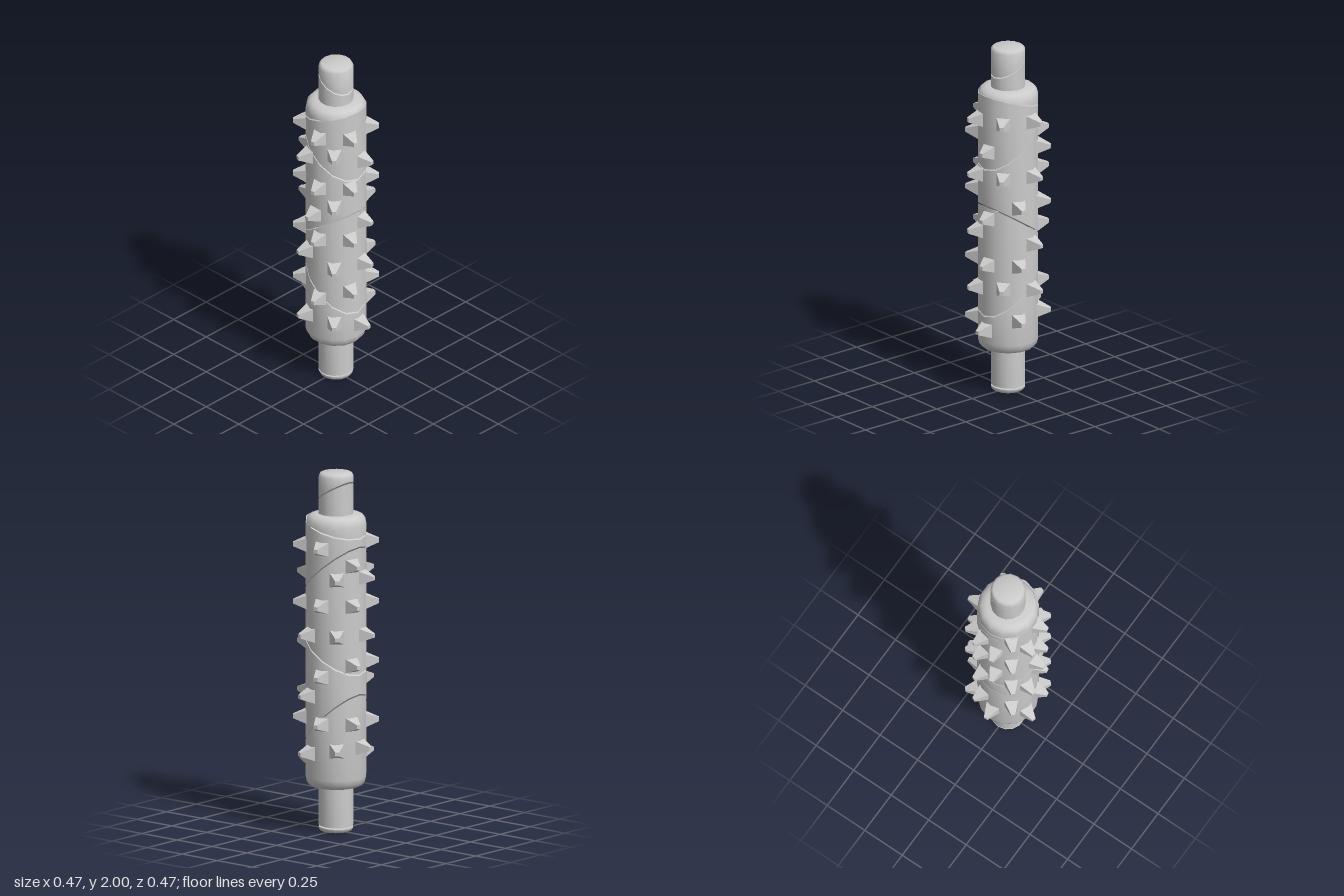
import * as THREE from 'three';
import { toCreasedNormals } from 'three/addons/utils/BufferGeometryUtils.js';

const SIDES = 14;
const GAP = 0.004;
const material = new THREE.MeshStandardMaterial({ color: 0xcccccc });

// Closed round piece; each profile point is [radius, height, tilt], tilt slanting that ring along z.
function turnedPiece(name, profile) {
  const points = profile.map(([r, y]) => new THREE.Vector2(r, y));
  const geometry = new THREE.LatheGeometry(points, SIDES);
  const pos = geometry.attributes.position;
  for (let i = 0; i < pos.count; i++) {
    const tilt = profile[i % profile.length][2] || 0;
    pos.setY(i, pos.getY(i) + tilt * pos.getZ(i));
  }
  const mesh = new THREE.Mesh(toCreasedNormals(geometry, 0.75), material);
  mesh.name = name;
  return mesh;
}

// Splits a turned bar along slanted cracks given as [height, tilt], from bottom to top.
function crackedBar(name, radius, bottomEnd, topEnd, cracks) {
  const group = new THREE.Group();
  group.name = name;
  for (let i = 0; i <= cracks.length; i++) {
    const lower = cracks[i - 1], upper = cracks[i];
    const start = lower
      ? [[0, lower[0] + GAP, lower[1]], [radius, lower[0] + GAP, lower[1]]]
      : bottomEnd;
    const end = upper
      ? [[radius, upper[0] - GAP, upper[1]], [0, upper[0] - GAP, upper[1]]]
      : topEnd;
    group.add(turnedPiece(name + 'Piece' + (i + 1), [...start, ...end]));
  }
  return group;
}

// Blunt four-sided spike pointing along +z, seated in the roller
function spikeGeometry() {
  const geometry = new THREE.CylinderGeometry(0.011 * Math.SQRT2, 0.046 * Math.SQRT2, 0.095, 4);
  geometry.rotateY(Math.PI / 4);
  geometry.rotateX(Math.PI / 2);
  geometry.translate(0, 0, 0.1875);
  return toCreasedNormals(geometry, 0.3);
}

// Spike heights by angle in degrees, measured from the front towards +x
const spikeColumns = [
  [5, [0.385]],
  [12, [1.43, 1.04, 0.77]],
  [42, [1.6, 1.28, 0.64]],
  [72, [1.11, 0.77, 0.45]],
  [102, [1.6, 1.28, 0.885, 0.62]],
  [132, [1.43, 1.11, 0.475]],
  [162, [1.505, 1.28, 0.95, 0.62]],
  [184, [0.485]],
  [192, [1.43, 1.11]],
  [222, [1.62, 1.28, 0.95, 0.62]],
  [252, [1.45, 0.84, 0.43]],
  [272, [1.1]],
  [282, [1.6, 1.28, 0.95, 0.57]],
  [312, [1.5, 1.17, 0.77, 0.42]],
  [342, [1.6, 1.28, 0.95, 0.62]],
];

export function createModel() {
  const model = new THREE.Group();
  model.name = 'spikedRoller';

  // Thick roller with rounded shoulders
  const shoulder = [[0.168, 0.058], [0.162, 0.03], [0.146, 0.009], [0.12, 0], [0, 0]];
  const rollerBottom = shoulder.map(([r, d]) => [r, 0.25 + d]).reverse();
  const rollerTop = shoulder.map(([r, d]) => [r, 1.772 - d]);
  model.add(crackedBar('roller', 0.168, rollerBottom, rollerTop, [
    [0.62, -0.95], [1.0, 0.66], [1.46, -0.85], [1.7, 0.3],
  ]));

  // Narrow handles at both ends
  const handle = [[0.096, 0.02], [0.088, 0.004], [0.08, 0], [0, 0]];
  model.add(crackedBar('upperHandle', 0.096,
    [[0, 1.7], [0.096, 1.7]],
    handle.map(([r, d]) => [r, 2 - d]),
    [[1.895, -0.6]]));
  model.add(crackedBar('lowerHandle', 0.096,
    handle.map(([r, d]) => [r, d]).reverse(),
    [[0.096, 0.32], [0, 0.32]],
    [[0.028, 0.03]]));

  // Spikes around the roller
  const spikes = new THREE.Group();
  spikes.name = 'spikes';
  const geometry = spikeGeometry();
  for (const [angle, heights] of spikeColumns) {
    for (const y of heights) {
      const spike = new THREE.Mesh(geometry, material);
      spike.name = 'spike';
      spike.position.y = y;
      spike.rotation.y = THREE.MathUtils.degToRad(angle);
      spikes.add(spike);
    }
  }
  model.add(spikes);
  return model;
}
